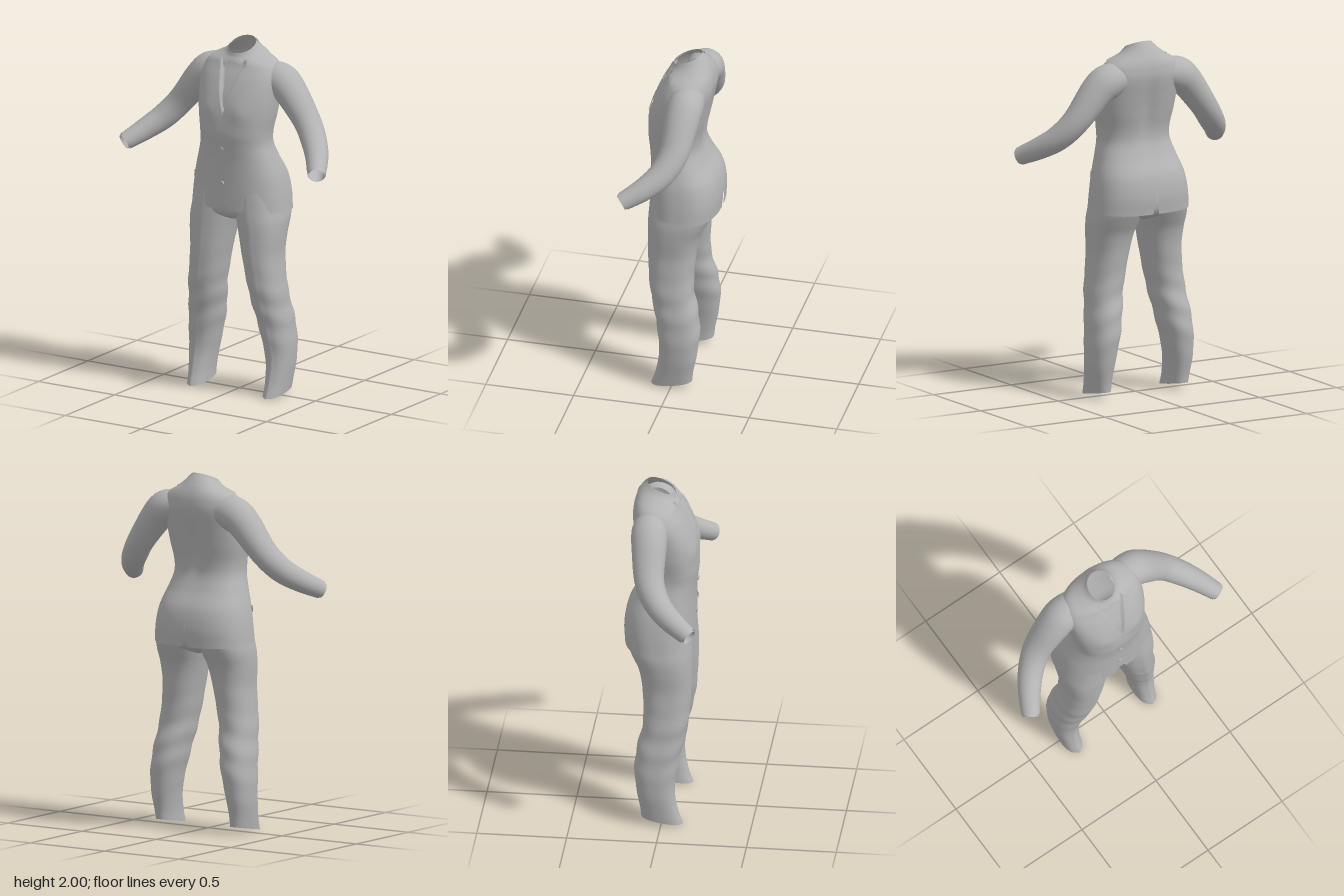
import * as THREE from 'three';

const cloth = new THREE.MeshStandardMaterial({ color: 0xb3b3b3, side: THREE.DoubleSide });
cloth.name = 'greyCloth';

const { smoothstep, lerp } = THREE.MathUtils;
const gauss = (d, s) => Math.exp(-(d * d) / (s * s));

// Smoothly interpolates rows [key, ...values] at a given key
function sample(rows, k) {
  const last = rows.length - 1;
  let i = 0;
  while (i < last - 1 && k > rows[i + 1][0]) i++;
  const a = rows[i], b = rows[i + 1], p = rows[Math.max(i - 1, 0)], q = rows[Math.min(i + 2, last)];
  const h = b[0] - a[0], t = (k - a[0]) / h, t2 = t * t, t3 = t2 * t;
  return a.slice(1).map((v, j) => {
    const c = j + 1;
    const m0 = (b[c] - p[c]) / (b[0] - p[0]) * h, m1 = (q[c] - a[c]) / (q[0] - a[0]) * h;
    return (2 * t3 - 3 * t2 + 1) * v + (t3 - 2 * t2 + t) * m0 + (3 * t2 - 2 * t3) * b[c] + (t3 - t2) * m1;
  });
}

// Surface from a point function of u, v in 0..1; closed joins the u ends
function sheet(name, nu, nv, fn, closed = false) {
  const pos = [], index = [], cols = closed ? nu : nu + 1;
  for (let j = 0; j <= nv; j++)
    for (let i = 0; i < cols; i++) pos.push(...fn(i / nu, j / nv));
  for (let j = 0; j < nv; j++)
    for (let i = 0; i < nu; i++) {
      const a = j * cols + i, b = j * cols + (i + 1) % cols;
      index.push(a, b, b + cols, a, b + cols, a + cols);
    }
  const g = new THREE.BufferGeometry();
  g.setAttribute('position', new THREE.Float32BufferAttribute(pos, 3));
  g.setIndex(index);
  g.computeVertexNormals();
  const mesh = new THREE.Mesh(g, cloth);
  mesh.name = name;
  return mesh;
}

// Unit superellipse point at an angle measured from the front
function oval(t, n) {
  const s = Math.sin(t), c = Math.cos(t);
  const r = Math.pow(Math.abs(s) ** n + Math.abs(c) ** n, -1 / n);
  return [s * r, c * r];
}

// Jacket body: height, half width, front z, back z, squareness, tilt
const BODY = [
  [1.05, .29, .165, -.225, 2.5, .05],
  [1.15, .28, .165, -.23, 2.5, .02],
  [1.25, .262, .165, -.21, 2.5, 0],
  [1.35, .23, .167, -.155, 2.5, 0],
  [1.43, .207, .175, -.125, 2.5, 0],
  [1.5, .208, .182, -.125, 2.5, 0],
  [1.6, .225, .172, -.145, 2.5, 0],
  [1.7, .235, .155, -.165, 2.5, 0],
  [1.8, .24, .115, -.183, 2.4, 0],
  [1.86, .225, .083, -.18, 2.2, 0],
  [1.89, .192, .073, -.17, 2.1, -.05],
  [1.915, .135, .065, -.152, 2, -.15],
  [1.94, .094, .056, -.13, 2, -.3],
  [1.967, .075, .05, -.108, 2, -.42],
];
const neckHalf = y => Math.max(0, y - 1.6) * .27;

function body(t, y, off = 0, open = false) {
  const [w, zf, zb, n, tilt] = sample(BODY, y);
  const [ux, uz] = oval(t, n), mid = (zf + zb) / 2;
  let x = ux * w, z = mid + uz * (zf - zb) / 2;
  if (uz > 0) {
    // Chest fullness, and the shirt set back inside the lapels
    z += .012 * uz * gauss(Math.abs(x) - .11, .07) * gauss(y - 1.62, .06);
    const half = neckHalf(y);
    if (open && half > 0)
      z -= .02 * (1 - smoothstep(Math.abs(x), half - .008, half + .004)) * smoothstep(y, 1.6, 1.66) * (1 - smoothstep(y, 1.88, 1.93));
  } else {
    // Spine hollow
    z += .014 * gauss(x, .05) * gauss(y - 1.6, .17);
  }
  const py = y + tilt * (z + .03);
  x += off * ux;
  z += off * uz;
  return [x, py, z];
}

// Point on the jacket front at a given x
function front(x, y, off) {
  const [w, , , n] = sample(BODY, y);
  const k = Math.min(Math.abs(x) / w, .999);
  return body(Math.atan2(Math.sign(x) * k, Math.pow(1 - k ** n, 1 / n)), y, off);
}

// Thin cloth piece on the front from rows [height, inner x, outer x]
function patch(name, side, rows, off) {
  return sheet(name, 8, 16, (u, v) => {
    const y = lerp(rows[0][0], rows[rows.length - 1][0], v);
    let i = 0;
    while (i < rows.length - 2 && y > rows[i + 1][0]) i++;
    const a = rows[i], b = rows[i + 1], f = (y - a[0]) / (b[0] - a[0]);
    return front(side * lerp(lerp(a[1], b[1], f), lerp(a[2], b[2], f), u), y, off);
  });
}

// Trouser leg: height, inner x, outer x, front z, back z, tilt
const LEG = [
  [.02, .193, .305, .115, -.113, -.17],
  [.08, .192, .312, .09, -.118, -.08],
  [.2, .178, .325, .068, -.138, 0],
  [.34, .15, .324, .082, -.152, 0],
  [.46, .125, .312, .105, -.138, 0],
  [.6, .1, .296, .135, -.108, 0],
  [.8, .063, .277, .152, -.115, 0],
  [.92, .037, .284, .155, -.137, 0],
  [1, .016, .286, .155, -.175, 0],
  [1.06, .002, .278, .152, -.2, 0],
  [1.18, 0, .255, .145, -.2, 0],
];
function leg(side) {
  return sheet('trouserLeg', 48, 70, (u, v) => {
    const y = lerp(.02, 1.18, v), [xi, xo, zf, zb, tilt] = sample(LEG, y);
    const [ux, uz] = oval(u * Math.PI * 2, 2.3);
    const fold = .003 * Math.sin(y * 42 + ux * 2) * gauss(y - .48, .2);
    const x = (xi + xo) / 2 + ux * ((xo - xi) / 2 + fold);
    // Pressed crease down the front
    const crease = uz > 0 ? .006 * gauss(ux, .15) : 0;
    const z = (zf + zb) / 2 + uz * ((zf - zb) / 2 + fold) + crease;
    return [side * x, y + tilt * z, z];
  }, true);
}

// Sleeve: step, centre x y z, radius across, radius in depth
const ARM = [
  [0, .13, 1.8, -.07, .08, .088],
  [1, .22, 1.785, -.07, .098, .1],
  [2, .29, 1.735, -.065, .09, .098],
  [3, .41, 1.585, -.05, .074, .083],
  [4, .49, 1.49, 0, .07, .074],
  [5, .56, 1.425, .08, .062, .065],
  [6, .628, 1.365, .188, .05, .052],
];
function armPoint(side, k, angle, scale = 1, push = 0) {
  const c = sample(ARM, k), at = d => new THREE.Vector3(...sample(ARM, d));
  const dir = at(Math.min(k + .05, 6)).sub(at(Math.max(k - .05, 0))).normalize();
  const across = new THREE.Vector3().crossVectors(dir, new THREE.Vector3(0, 0, 1)).normalize();
  const depth = new THREE.Vector3().crossVectors(across, dir);
  const p = new THREE.Vector3(c[0], c[1], c[2])
    .addScaledVector(across, Math.cos(angle) * c[3] * scale)
    .addScaledVector(depth, Math.sin(angle) * c[4] * scale)
    .addScaledVector(dir, push);
  return [side * p.x, p.y, p.z];
}

export function createModel() {
  const suit = new THREE.Group();
  suit.name = 'suit';

  for (const side of [1, -1]) {
    // Jacket half, cut away at the front hem and the back vent
    suit.add(sheet('jacketHalf', 80, 120, (u, v) => {
      const y = lerp(1.05, 1.967, v), w = sample(BODY, y)[0];
      const a = Math.max(0, 1.15 - y) * .36 / w, b = Math.max(0, 1.19 - y) * .13 / w;
      const p = body(lerp(a, Math.PI - b, u), y, 0, true);
      return [side * p[0], p[1], p[2]];
    }));

    // Lapel, shirt collar wing and pocket flap
    suit.add(patch('lapel', side, [[1.585, 0, .012], [1.63, .008, .062], [1.7, .027, .098], [1.79, .051, .118], [1.845, .066, .135], [1.87, .073, .105]], .008));
    suit.add(patch('shirtCollarWing', side, [[1.85, .042, .046], [1.89, .022, .062], [1.935, .008, .068]], .006));
    suit.add(patch('pocketFlap', side, [[1.212, .1, .222], [1.25, .1, .218]], .008));

    // Sleeve with a shirt cuff showing at the wrist
    suit.add(sheet('sleeve', 32, 48, (u, v) => armPoint(side, v * 6, u * Math.PI * 2), true));
    suit.add(sheet('shirtCuff', 32, 4, (u, v) => armPoint(side, 5.6 + v * .4, u * Math.PI * 2, .86, v * .012), true));
    suit.add(leg(side));
  }

  // Jacket collar wrapping the back of the neck
  suit.add(sheet('jacketCollar', 64, 8, (u, v) => {
    const t = lerp(.95, Math.PI * 2 - .95, u), ends = Math.abs(u - .5) * 2;
    return body(t, lerp(lerp(1.915, 1.88, ends ** 3), 1.955, v), .009 - .004 * v);
  }));

  // Necktie
  suit.add(patch('tieKnot', 1, [[1.88, -.013, .013], [1.93, -.022, .022]], .002));
  suit.add(patch('tieBlade', 1, [[1.63, -.006, .006], [1.72, -.026, .026], [1.885, -.012, .012]], -.013));

  // Trouser seat bridging the two legs
  const SEAT = [
    [.99, .03, .08, -.1], [1.015, .14, .13, -.165], [1.05, .25, .15, -.2], [1.12, .262, .152, -.208], [1.22, .25, .15, -.19],
  ];
  suit.add(sheet('trouserSeat', 48, 16, (u, v) => {
    const y = lerp(.99, 1.22, v), [w, zf, zb] = sample(SEAT, y), [ux, uz] = oval(u * Math.PI * 2, 2.5);
    return [ux * w, y, (zf + zb) / 2 + uz * (zf - zb) / 2];
  }, true));

  // Jacket buttons
  for (const y of [1.41, 1.21]) {
    const button = new THREE.Mesh(new THREE.CylinderGeometry(.012, .013, .01, 20), cloth);
    button.name = 'button';
    button.rotation.x = Math.PI / 2;
    button.position.set(...front(-.008, y, .003));
    suit.add(button);
  }
  return suit;
}
